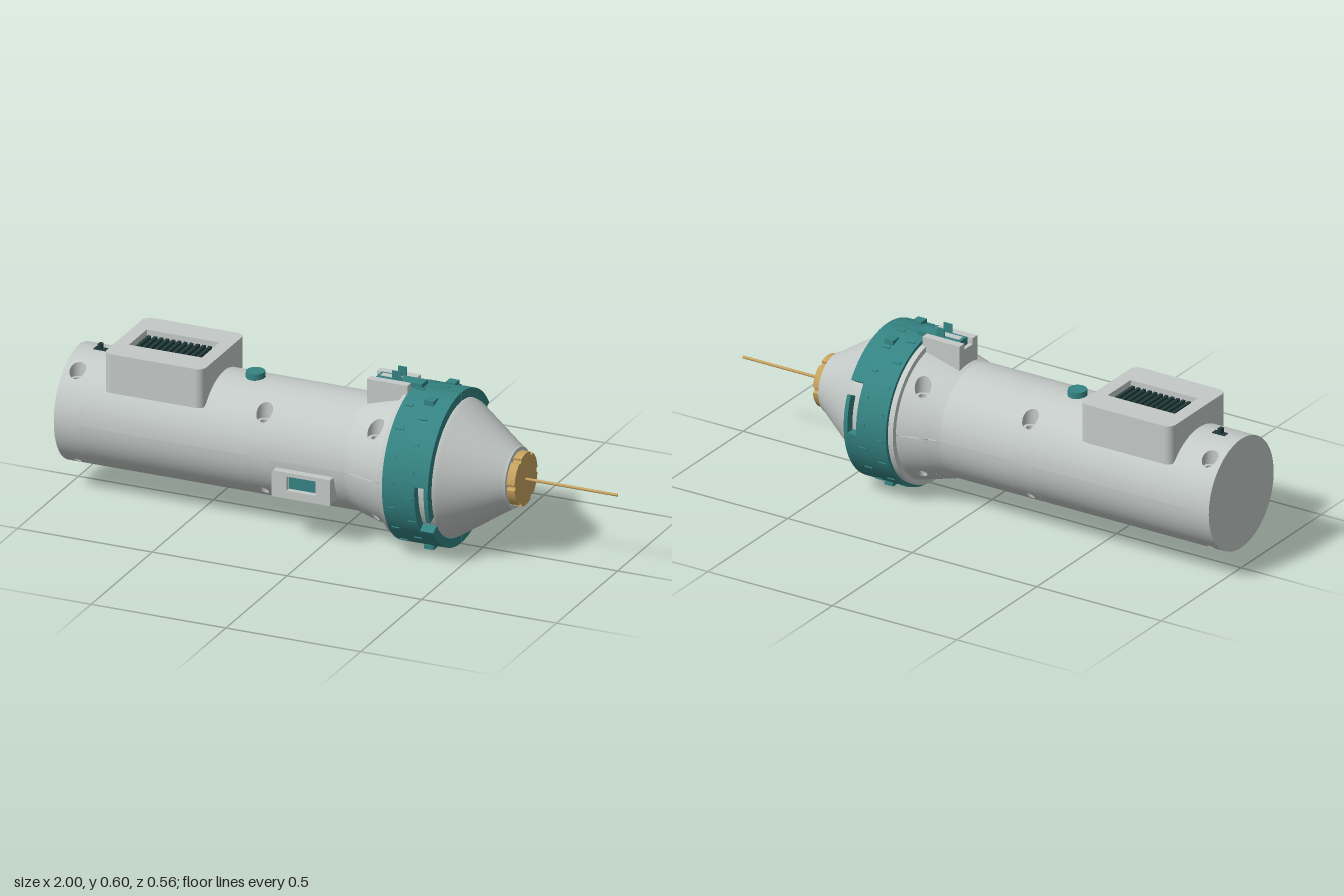
import * as THREE from 'three';

const mat = (name, color, side = THREE.FrontSide) => {
  const m = new THREE.MeshStandardMaterial({ color, side });
  m.name = name;
  return m;
};
const AXIS = 0.277; // height of the long axis
const { PI, cos, sin, sqrt, abs, max, sign } = Math;

export function createModel() {
  const grey = mat('pale grey', 0xc4cac8, THREE.DoubleSide);
  const teal = mat('teal', 0x358383);
  const gold = mat('gold', 0xc7a35f, THREE.DoubleSide);
  const dark = mat('dark teal', 0x213a3a);
  const root = new THREE.Group();
  root.name = 'capsule';

  const add = (name, geo, m, x = 0, y = 0, z = 0) => {
    const mesh = new THREE.Mesh(geo, m);
    mesh.name = name;
    mesh.position.set(x, y, z);
    root.add(mesh);
    return mesh;
  };
  // box given by its limits
  const box = (name, m, x0, x1, y0, y1, z0, z1) =>
    add(name, new THREE.BoxGeometry(x1 - x0, y1 - y0, z1 - z0), m, (x0 + x1) / 2, (y0 + y1) / 2, (z0 + z1) / 2);
  // turned part along x, profile points are [x, radius]
  const turned = (name, pts, m, seg = 72) => {
    const geo = new THREE.LatheGeometry(pts.map(([x, r]) => new THREE.Vector2(r, x)), seg);
    geo.rotateZ(-PI / 2);
    return add(name, geo, m, 0, AXIS, 0);
  };
  // surface from a rule fn(u, v) -> [x, y, z]
  const grid = (name, nu, nv, fn, m = grey) => {
    const pos = [], idx = [];
    for (let j = 0; j <= nv; j++)
      for (let i = 0; i <= nu; i++) pos.push(...fn(i / nu, j / nv));
    for (let j = 0; j < nv; j++)
      for (let i = 0; i < nu; i++) {
        const a = j * (nu + 1) + i, b = a + nu + 1;
        idx.push(a, a + 1, b, a + 1, b + 1, b);
      }
    const geo = new THREE.BufferGeometry();
    geo.setAttribute('position', new THREE.Float32BufferAttribute(pos, 3));
    geo.setIndex(idx);
    geo.computeVertexNormals();
    return add(name, geo, m, 0, AXIS, 0);
  };
  // annular sector along x; angle 0 faces +z, a quarter turn is up
  const sector = (name, m, x0, x1, r0, r1, a0, a1) => {
    const s = new THREE.Shape();
    s.absarc(0, 0, r1, PI - a0, PI - a1, true);
    s.absarc(0, 0, r0, PI - a1, PI - a0, false);
    const geo = new THREE.ExtrudeGeometry(s, { depth: x1 - x0, bevelEnabled: false, curveSegments: 48 });
    geo.rotateY(PI / 2);
    return add(name, geo, m, x0, AXIS, 0);
  };
  const roundRect = (S, x0, x1, y0, y1, r) => {
    const s = new S();
    s.absarc(x1 - r, y1 - r, r, 0, PI / 2);
    s.absarc(x0 + r, y1 - r, r, PI / 2, PI);
    s.absarc(x0 + r, y0 + r, r, PI, 1.5 * PI);
    s.absarc(x1 - r, y0 + r, r, 1.5 * PI, 2 * PI);
    s.closePath();
    return s;
  };

  // Shell: straight tube, flared towards the collar
  const R = x => 0.203 + max(0, x - 0.08) * 0.27;
  const onShell = (x, a) => [x, R(x) * sin(a), R(x) * cos(a)];
  const shell = (x0, x1, a0, a1) =>
    grid('shell', 32, 1, (u, v) => onShell(x0 + (x1 - x0) * v, a0 + (a1 - a0) * u));
  const gap = 0.005, hw = 0.045, ha = 0.26;
  for (const [x0, x1] of [[-1, -0.995], [-0.905, -0.29], [-0.2, 0.08], [0.08, 0.13], [0.22, 0.25]])
    for (const a of [0, PI]) shell(x0, x1, a + gap, a + PI - gap);

  // Bands of the shell with four screw holes each
  for (const [xc, zc] of [[-0.95, 0.117], [-0.245, 0.142], [0.175, 0.16]]) {
    const ac = Math.acos(zc / R(xc));
    for (const a of [0, PI]) {
      shell(xc - hw, xc + hw, a + gap, a + ac - ha);
      shell(xc - hw, xc + hw, a + ac + ha, a + PI - ac - ha);
      shell(xc - hw, xc + hw, a + PI - ac + ha, a + PI - gap);
    }
    for (const side of [1, -1]) {
      const rim = (t, rad, up) => {
        const x = xc + rad * cos(t), z = side * zc + rad * sin(t);
        return [x, up * sqrt(R(x) ** 2 - z * z), z];
      };
      for (const up of [1, -1]) {
        const a0 = up * (side > 0 ? ac : PI - ac), rad = up > 0 ? 0.028 : 0.015;
        grid('shellAroundHole', 64, 5, (u, v) => {
          const t = u * 2 * PI, k = max(abs(cos(t)), abs(sin(t)));
          const [x, y, z] = rim(t, rad, up);
          const a = Math.atan2(y, z);
          return onShell(x + (xc + hw * cos(t) / k - x) * v, a + (a0 - sign(a0) * ha * sin(t) / k - a) * v);
        });
      }
      const floor = sqrt(R(xc) ** 2 - zc * zc) - 0.035;
      grid('counterbore', 32, 1, (u, v) => {
        const [x, y, z] = rim(u * 2 * PI, 0.028, 1);
        return [x, y + (floor - y) * v, z];
      });
      grid('counterboreFloor', 32, 1, (u, v) => {
        const t = u * 2 * PI, r = 0.028 - 0.013 * v;
        return [xc + r * cos(t), floor, side * zc + r * sin(t)];
      });
      grid('screwTube', 32, 1, (u, v) => {
        const [x, y, z] = rim(u * 2 * PI, 0.015, -1);
        return [x, floor + (y - floor) * v, z];
      });
    }
  }
  turned('endCap', [[-1, 0], [-1, 0.203]], grey);
  for (const s of [1, -1]) box('seamLiner', grey, -0.998, 0.22, AXIS - 0.004, AXIS + 0.004, s * 0.195 - 0.005, s * 0.195 + 0.005);

  // Flange behind the collar, and the nose cone
  turned('flange', [[0.23, 0.23], [0.23, 0.263], [0.23, 0.263], [0.25, 0.263]], grey);
  turned('noseBase', [[0.25, 0.241], [0.42, 0.241]], grey);
  turned('noseCone', [[0.42, 0.241], [0.435, 0.235], [0.62, 0.111], [0.63, 0.107]], grey);
  turned('noseFace', [[0.63, 0.107], [0.63, 0]], grey);

  // Collar: two halves with hooked slots
  const deg = PI / 180, ri = 0.243, ro = 0.275;
  for (const h of [0, PI]) {
    const from = h - PI / 2 + 0.008, to = h + PI / 2 - 0.008;
    sector('collarHalf', teal, 0.25, 0.37, ri, ro, from, to);
    sector('collarFrontLower', teal, 0.37, 0.42, ri, ro, from, h - 34 * deg);
    sector('collarFrontUpper', teal, 0.37, 0.42, ri, ro, h + 5 * deg, to);
    sector('slotBridge', teal, 0.405, 0.42, ri, ro, h - 23 * deg, h + 5 * deg);
  }
  // Grip marks in two staggered rows
  for (let i = 0; i < 18; i++)
    [[0.265, 0], [0.335, 0.5]].forEach(([x, o]) => {
      const a = (i + 0.25 + o) * PI / 9;
      sector('gripMark', teal, x, x + 0.03, 0.27, 0.2785, a - 0.018, a + 0.018);
    });
  // Screw lugs above and below
  for (const s of [1, -1])
    for (const up of [1, -1]) {
      const y = AXIS + up * 0.26;
      box('collarLug', teal, 0.33, 0.365, y - 0.012, y + 0.012, s * 0.0875 - 0.018, s * 0.0875 + 0.018);
    }

  // Gold tip with six round notches, and the needle
  const tip = new THREE.Shape();
  for (let i = 0; i < 6; i++) {
    const a = i * PI / 3, d = 0.105;
    tip.absarc(0, 0, 0.094, a - PI / 3 + d, a - d, false);
    tip.absarc(0.094 * cos(a), 0.094 * sin(a), 0.0098, a - PI / 2, a + PI / 2, true);
  }
  const tipGeo = new THREE.ExtrudeGeometry(tip, { depth: 0.03, bevelEnabled: false, curveSegments: 10 });
  tipGeo.rotateY(PI / 2);
  add('tipPlate', tipGeo, gold, 0.63, AXIS, 0);
  turned('needle', [[0.66, 0.005], [1, 0.005], [1, 0.003], [0.66, 0.003]], gold, 16);

  // Top housing with a recessed grille
  const top = roundRect(THREE.Shape, -0.83, -0.46, -0.174, 0.174, 0.03);
  top.holes.push(roundRect(THREE.Path, -0.78, -0.51, -0.072, 0.072, 0.002));
  const topGeo = new THREE.ExtrudeGeometry(top, { depth: 0.142, bevelEnabled: false });
  topGeo.rotateX(-PI / 2);
  add('topHousing', topGeo, grey, 0, 0.405, 0);
  box('grilleFloor', dark, -0.78, -0.51, 0.505, 0.513, -0.072, 0.072);
  for (let i = 0; i < 12; i++) {
    const x = -0.769 + i * 0.0225;
    box('grilleSlat', dark, x - 0.006, x + 0.006, 0.513, 0.528, -0.072, 0.072);
  }

  // Side housing with a recessed display
  const sideShape = roundRect(THREE.Shape, -0.18, 0.038, 0.157, 0.252, 0.008);
  sideShape.holes.push(roundRect(THREE.Path, -0.125, -0.017, 0.186, 0.238, 0.002));
  add('sideHousing', new THREE.ExtrudeGeometry(sideShape, { depth: 0.08, bevelEnabled: false }), grey, 0, 0, 0.15);
  box('displayBack', grey, -0.125, -0.017, 0.186, 0.238, 0.205, 0.211);
  box('display', teal, -0.121, -0.021, 0.19, 0.234, 0.211, 0.218);

  // Push button and small rear switch
  add('button', new THREE.CylinderGeometry(0.033, 0.036, 0.05, 32), teal, -0.343, 0.475, 0);
  box('switchPlate', dark, -0.94, -0.89, 0.474, 0.482, -0.012, 0.012);
  box('switchPost', dark, -0.925, -0.911, 0.48, 0.501, -0.009, 0.009);

  // Slider track and catch
  for (const s of [1, -1]) {
    box('trackWall', grey, 0.095, 0.245, 0.46, 0.567, s * 0.04 - 0.015, s * 0.04 + 0.015);
    box('catchProng', teal, 0.175, 0.208, 0.55, 0.6, s * 0.023 - 0.002, s * 0.023 + 0.002);
  }
  box('trackEnd', grey, 0.095, 0.11, 0.46, 0.545, -0.025, 0.025);
  box('trackFloor', grey, 0.11, 0.245, 0.46, 0.53, -0.025, 0.025);
  box('catchBar', teal, 0.115, 0.285, 0.53, 0.568, -0.0235, 0.0235);
  box('catchInset', grey, 0.125, 0.2, 0.566, 0.57, -0.012, 0.012);

  return root;
}
